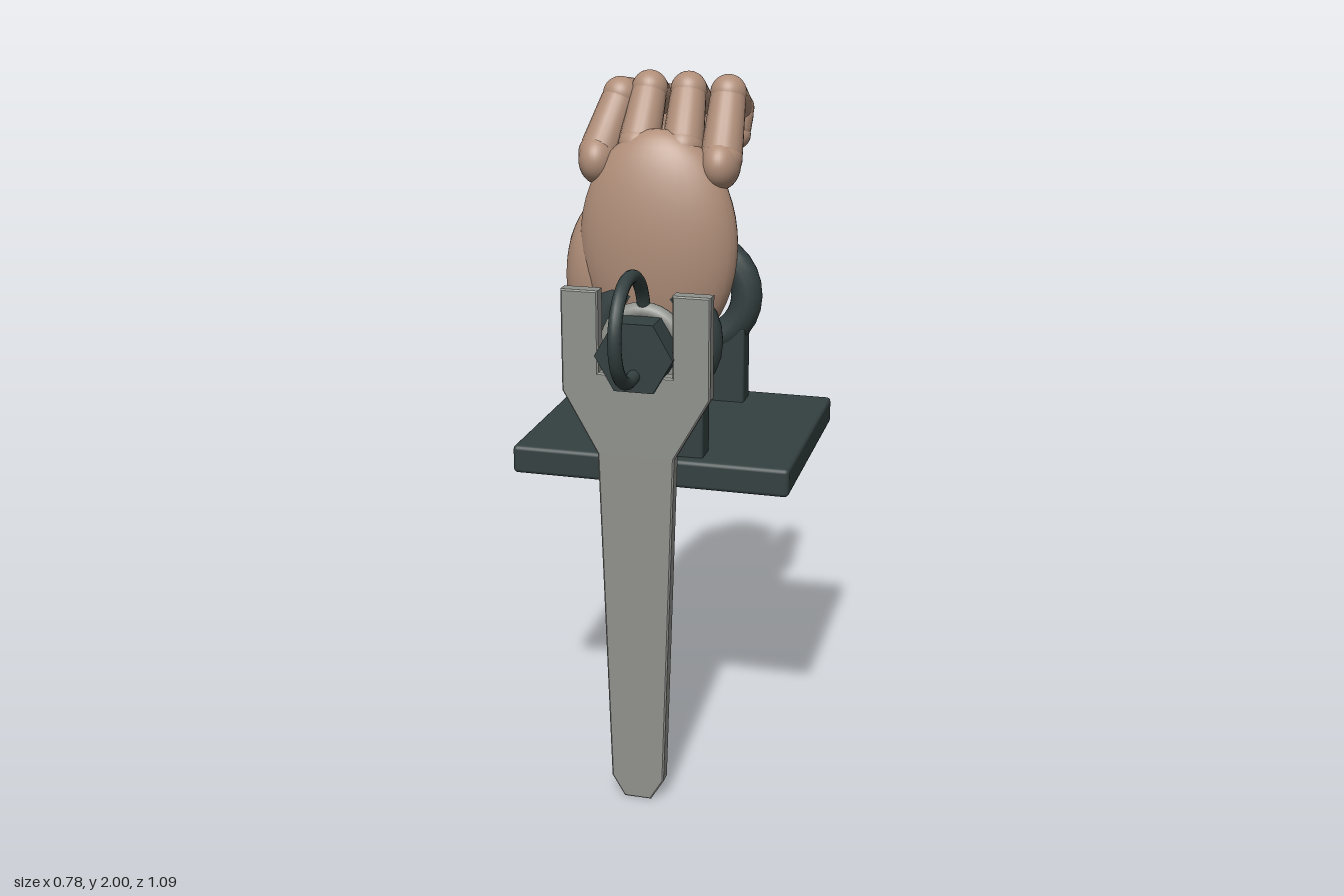
import * as THREE from 'three';
import { RoundedBoxGeometry } from 'three/addons/geometries/RoundedBoxGeometry.js';

const mat = (name, color) => {
  const m = new THREE.MeshStandardMaterial({ color });
  m.name = name;
  return m;
};

export function createModel() {
  const root = new THREE.Group();
  root.name = 'handOnLatch';
  const skin = mat('skin', 0xb08e79);
  const iron = mat('dark iron', 0x344040);
  const steel = mat('grey steel', 0x90928d);
  const AXIS_Y = 1.305;

  const add = (parent, name, geo, material, x = 0, y = 0, z = 0) => {
    const m = new THREE.Mesh(geo, material);
    m.name = name;
    m.position.set(x, y, z);
    parent.add(m);
    return m;
  };

  // Base plate
  add(root, 'basePlate', new RoundedBoxGeometry(0.78, 0.08, 0.67, 2, 0.012), iron, 0, 0.945, -0.11);

  // Two posts carrying the guide rings
  for (const [side, z] of [['front', 0.15], ['back', -0.36]]) {
    add(root, side + 'Post', new RoundedBoxGeometry(0.29, 0.24, 0.08, 2, 0.008), iron, 0, 1.095, z);
    add(root, side + 'GuideRing', new THREE.TorusGeometry(0.143, 0.047, 14, 28), iron, 0, AXIS_Y, z);
  }

  // Sliding bolt with a hexagonal head
  add(root, 'boltRod', new THREE.CylinderGeometry(0.065, 0.065, 0.82, 32), iron, 0, AXIS_Y, -0.135)
    .rotation.x = Math.PI / 2;
  const hex = new THREE.CylinderGeometry(0.106, 0.106, 0.09, 6).toNonIndexed();
  hex.computeVertexNormals();
  hex.rotateY(Math.PI / 6 + Math.PI / 3);
  hex.rotateX(Math.PI / 2);
  add(root, 'boltHead', hex, iron, 0, AXIS_Y, 0.315);
  add(root, 'washer', new THREE.TorusGeometry(0.098, 0.023, 12, 32), steel, 0, AXIS_Y + 0.005, 0.256);

  // Pull ring through the bolt head
  add(root, 'pullRing', new THREE.TorusGeometry(0.137, 0.018, 12, 40), iron, 0, 1.39, 0.39)
    .rotation.y = Math.PI / 2;

  // Forked lever, outlined on one side and mirrored
  const half = [[0.036, 0.005], [0.071, 0.064], [0.101, 1.03], [0.197, 1.2], [0.197, 1.47], [0.104, 1.47], [0.104, 1.25]];
  const outline = [...half, ...half.map(([x, y]) => [-x, y]).reverse()];
  const lever = new THREE.ExtrudeGeometry(
    new THREE.Shape(outline.map(([x, y]) => new THREE.Vector2(x, y))),
    { depth: 0.036, bevelEnabled: true, bevelSize: 0.004, bevelThickness: 0.004, bevelSegments: 1 });
  add(root, 'forkLever', lever, steel, 0, 0, 0.304);

  // Hand
  const hand = new THREE.Group();
  hand.name = 'hand';
  root.add(hand);
  const ellipsoid = (name, p, r) => {
    const m = add(hand, name, new THREE.SphereGeometry(1, 32, 24), skin, ...p);
    m.scale.set(...r);
    return m;
  };
  ellipsoid('palm', [0, 1.555, 0.105], [0.217, 0.305, 0.105]);
  ellipsoid('thumbMound', [-0.178, 1.47, 0.07], [0.09, 0.19, 0.085]).rotation.z = -0.08;

  // Tapered phalanx with softly domed ends, running from a to b
  const phalanx = (name, a, b, r0, r1) => {
    const A = new THREE.Vector3(...a), B = new THREE.Vector3(...b);
    const d = B.clone().sub(A), L = d.length(), e = 0.018;
    const pts = [[0, -e], [r0 * 0.6, -e * 0.8], [r0 * 0.92, 0], [r0, e], [(r0 + r1) / 2, L / 2],
      [r1, L - e], [r1 * 0.92, L], [r1 * 0.6, L + e * 0.8], [0, L + e]];
    const m = add(hand, name, new THREE.LatheGeometry(pts.map(([x, y]) => new THREE.Vector2(x, y)), 20), skin, ...a);
    m.quaternion.setFromUnitVectors(new THREE.Vector3(0, 1, 0), d.normalize());
  };

  // Chain of phalanges with ball joints between them
  const digit = (name, joints, radii) => {
    for (let i = 0; i < joints.length - 1; i++) {
      phalanx(name + 'Segment' + (i + 1), joints[i], joints[i + 1], radii[i], radii[i + 1]);
      const r = radii[i] * 1.01;
      ellipsoid(name + 'Joint' + (i + 1), joints[i], [r, r, r]);
    }
    const r = radii[joints.length - 1] * 0.98;
    ellipsoid(name + 'Tip', joints[joints.length - 1], [r, r, r]);
  };

  // Three curled fingers
  for (const [name, x0, x1, y0, top] of [
    ['middleFinger', -0.06, -0.052, 1.81, 1.95],
    ['ringFinger', 0.06, 0.055, 1.81, 1.95],
    ['littleFinger', 0.165, 0.163, 1.785, 1.945]]) {
    digit(name, [[x0, y0, 0.085], [x1, top, 0.0], [x1, top - 0.055, -0.115], [x1, top - 0.125, -0.1]],
      [0.055, 0.048, 0.044, 0.04]);
  }
  // Index finger crossing inwards over the middle finger
  digit('indexFinger', [[-0.17, 1.785, 0.085], [-0.13, 1.932, 0.01], [-0.035, 1.9, -0.13], [0.02, 1.835, -0.18]],
    [0.055, 0.048, 0.046, 0.042]);
  // Outer knuckles
  for (const x of [-0.17, 0.165]) ellipsoid('outerKnuckle', [x, 1.77, 0.09], [0.052, 0.066, 0.07]);

  // Thumb reaching back and up towards the index finger
  digit('thumb', [[-0.2, 1.53, 0.045], [-0.145, 1.65, -0.07], [-0.07, 1.735, -0.165]], [0.065, 0.054, 0.044]);

  return root;
}
